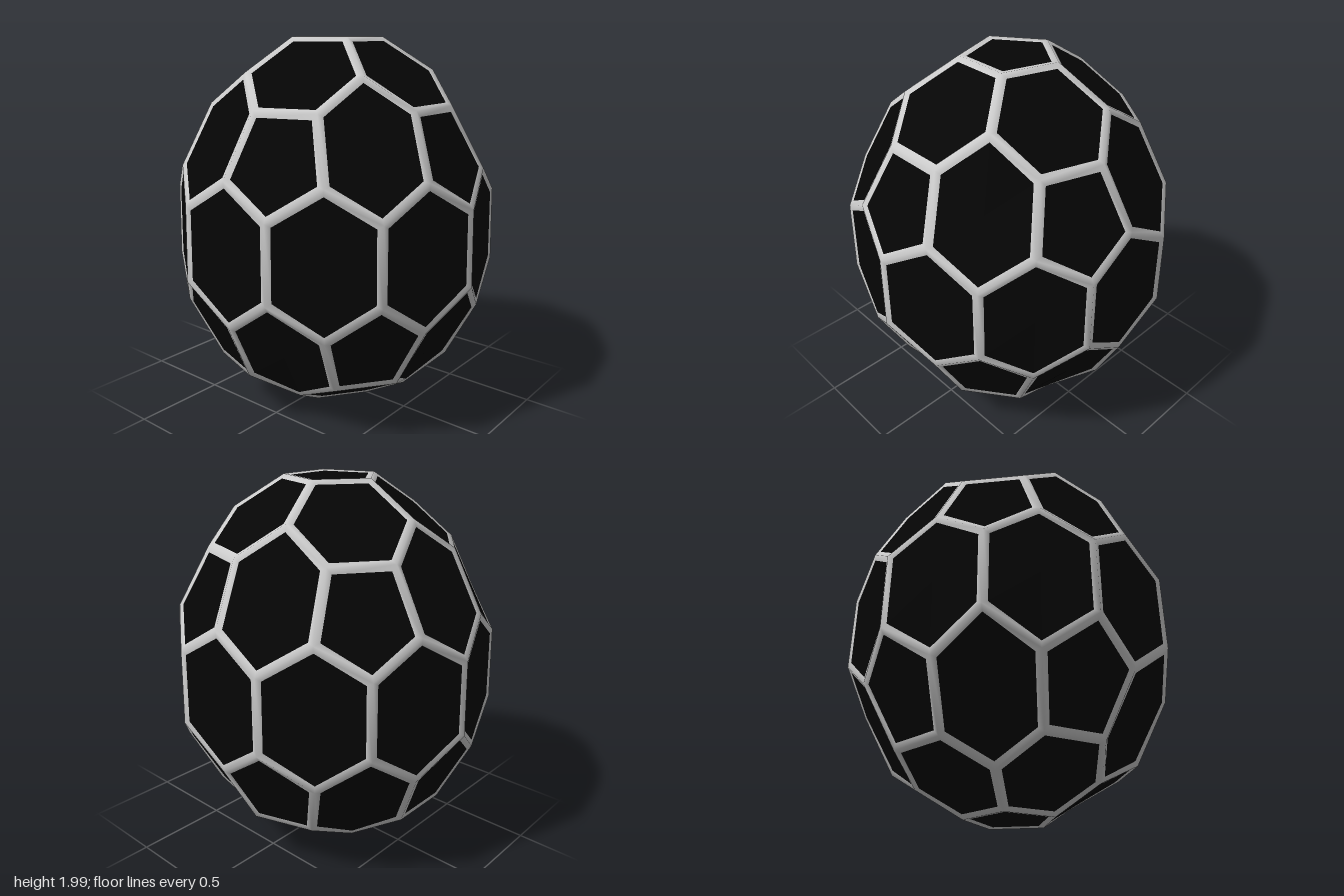
import * as THREE from 'three';
import { mergeVertices } from 'three/addons/utils/BufferGeometryUtils.js';

// Rings of corners from pole to waist: [radius, height]
const TOP = { a: [0.255, 1.995], b: [0.525, 1.825], c: [0.655, 1.66], d: [0.82, 1.345], e: [0.872, 1.185] };
const BOTTOM = { a: [0.245, 0.005], b: [0.49, 0.145], c: [0.655, 0.275], d: [0.82, 0.6], e: [0.882, 0.79] };
const STRUT = 0.03; // half width of a strut
const DEPTH = 0.006; // how far the panels sit below the strut ridges
const C = 14.5; // half angle of the edge where hexagon and pentagon meet

function corner([radius, height], degrees) {
  const t = THREE.MathUtils.degToRad(degrees);
  return new THREE.Vector3(radius * Math.cos(t), height, radius * Math.sin(t));
}

// Cap faces: a pole pentagon, five hexagons, then five pentagons and five hexagons alternating
function capFaces(rings, turn) {
  const p = (ring, deg) => corner(rings[ring], deg + turn);
  const faces = [[36, 108, 180, 252, 324].map((deg) => p('a', deg))];
  for (let k = 0; k < 5; k++) {
    const s = 72 * k;
    faces.push([p('a', s - 36), p('a', s + 36), p('b', s + 36), p('c', s + C), p('c', s - C), p('b', s - 36)]);
    faces.push([p('c', s + C), p('c', s - C), p('d', s - 18), p('e', s), p('d', s + 18)]);
    faces.push([p('b', s + 36), p('c', s + C), p('d', s + 18), p('e', s + 36), p('d', s + 54), p('c', s + 72 - C)]);
  }
  return faces;
}

// Waist: ten tall hexagons
function beltFaces() {
  return Array.from({ length: 10 }, (_, k) => {
    const s = 36 * k;
    return [corner(TOP.d, s + 18), corner(TOP.e, s), corner(BOTTOM.e, s),
      corner(BOTTOM.d, s + 18), corner(BOTTOM.e, s + 36), corner(TOP.e, s + 36)];
  });
}

function average(points) {
  return points.reduce((sum, p) => sum.add(p), new THREE.Vector3()).divideScalar(points.length);
}

function faceNormal(points, centre) {
  const n = new THREE.Vector3();
  points.forEach((p, i) => {
    const q = points[(i + 1) % points.length];
    n.add(p.clone().sub(centre).cross(q.clone().sub(centre)));
  });
  return n.normalize();
}

// Move each corner inward so that the border has an even width
function inset(points, normal) {
  const n = points.length;
  return points.map((p, i) => {
    const u = points[(i + n - 1) % n].clone().sub(p).normalize();
    const v = points[(i + 1) % n].clone().sub(p).normalize();
    const sine = u.clone().cross(v).length();
    return p.clone().addScaledVector(u.add(v), STRUT / sine).addScaledVector(normal, -DEPTH);
  });
}

function makeMesh(name, points, color, smooth) {
  let geometry = new THREE.BufferGeometry().setFromPoints(points);
  if (smooth) geometry = mergeVertices(geometry, 1e-4);
  geometry.computeVertexNormals();
  const mesh = new THREE.Mesh(geometry, new THREE.MeshStandardMaterial({ color }));
  mesh.name = name;
  return mesh;
}

export function createModel() {
  const group = new THREE.Group();
  group.name = 'panelledEgg';
  const struts = [];
  const panels = [];

  for (const face of [...capFaces(TOP, 0), ...beltFaces(), ...capFaces(BOTTOM, 180)]) {
    const centre = average(face);
    const outward = centre.clone().setY(centre.y - 1);
    let normal = faceNormal(face, centre);
    if (normal.dot(outward) < 0) {
      face.reverse();
      normal = normal.negate();
    }
    const inner = inset(face, normal);
    const middle = average(inner);
    face.forEach((p, i) => {
      const j = (i + 1) % face.length;
      struts.push(p, face[j], inner[j], p, inner[j], inner[i]);
      panels.push(middle, inner[i], inner[j]);
    });
  }

  group.add(makeMesh('strutFrame', struts, 0xcccccc, true));
  group.add(makeMesh('darkPanels', panels, 0x050505, false));
  return group;
}
